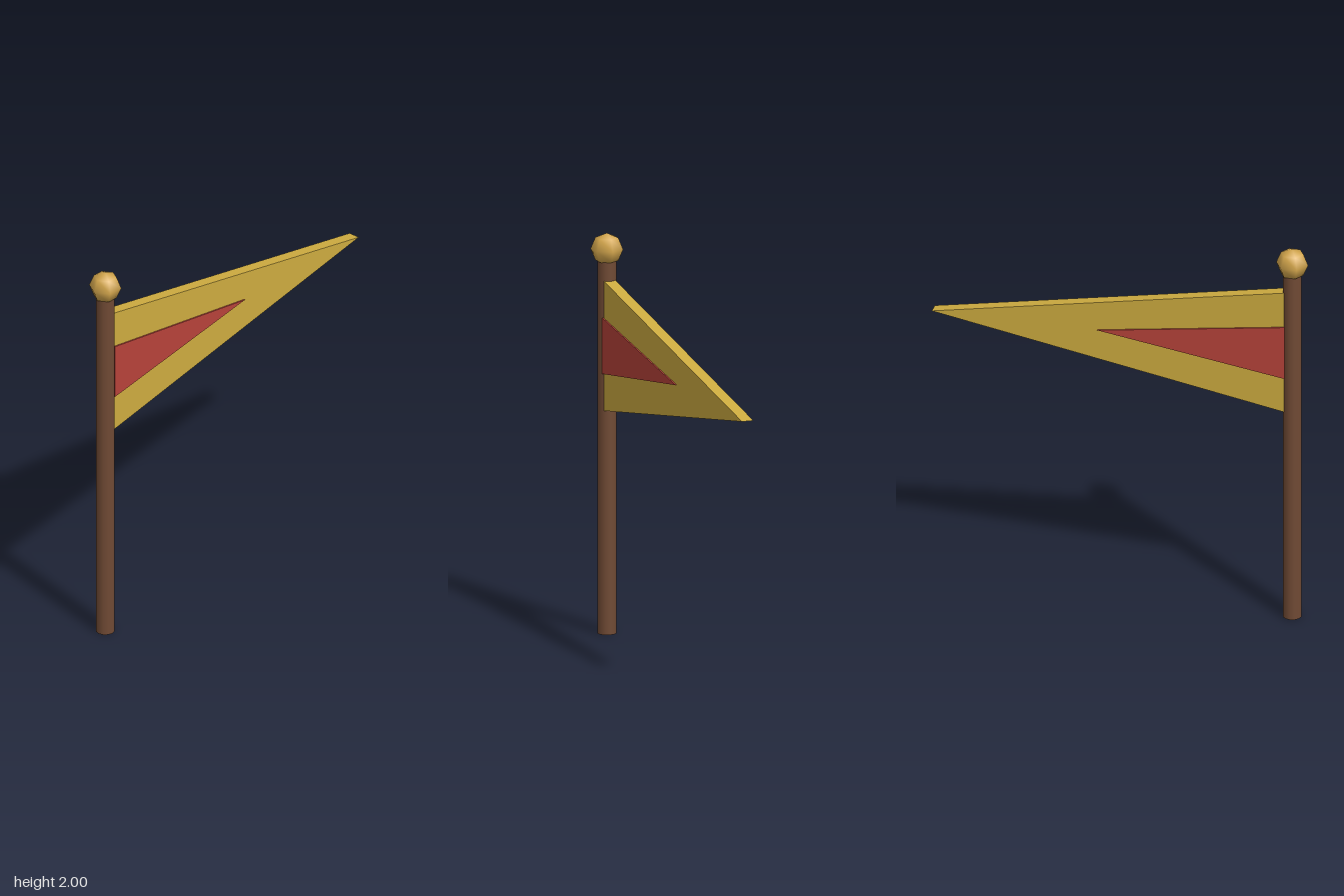
import * as THREE from 'three';

const POLE_Z = 0.86;

function material(name, color) {
  const m = new THREE.MeshStandardMaterial({ color });
  m.name = name;
  return m;
}

// Triangular pennant in the y-z plane, centred on x = 0
function pennant(name, mat, rootZ, tipZ, top, bottom, tipY, thickness) {
  const shape = new THREE.Shape([
    new THREE.Vector2(-rootZ, bottom),
    new THREE.Vector2(-tipZ, tipY),
    new THREE.Vector2(-rootZ, top),
  ]);
  const geo = new THREE.ExtrudeGeometry(shape, { depth: thickness, bevelEnabled: false });
  geo.translate(0, 0, -thickness / 2);
  geo.rotateY(Math.PI / 2);
  const mesh = new THREE.Mesh(geo, mat);
  mesh.name = name;
  return mesh;
}

export function createModel() {
  const group = new THREE.Group();
  group.name = 'pennantFlag';
  const wood = material('brown wood', 0x704a34);
  const brass = material('brass', 0xd2a54c);
  const yellow = material('yellow cloth', 0xceac40);
  const red = material('red cloth', 0xb8433a);

  // Pole
  const pole = new THREE.Mesh(new THREE.CylinderGeometry(0.047, 0.047, 1.88, 12), wood);
  pole.name = 'pole';
  pole.position.set(0, 0.94, POLE_Z);
  group.add(pole);

  // Low-poly ball on top, with corners facing front and back
  const knob = new THREE.Mesh(new THREE.SphereGeometry(0.08, 6, 4), brass);
  knob.name = 'knob';
  knob.position.set(0, 1.92, POLE_Z);
  knob.rotation.y = Math.PI / 2;
  group.add(knob);

  // Flag, with a red inset standing slightly proud on both sides
  group.add(pennant('flag', yellow, 0.83, -0.94, 1.77, 1.12, 1.455, 0.06));
  group.add(pennant('flagInset', red, 0.83, -0.11, 1.585, 1.305, 1.455, 0.074));

  return group;
}
